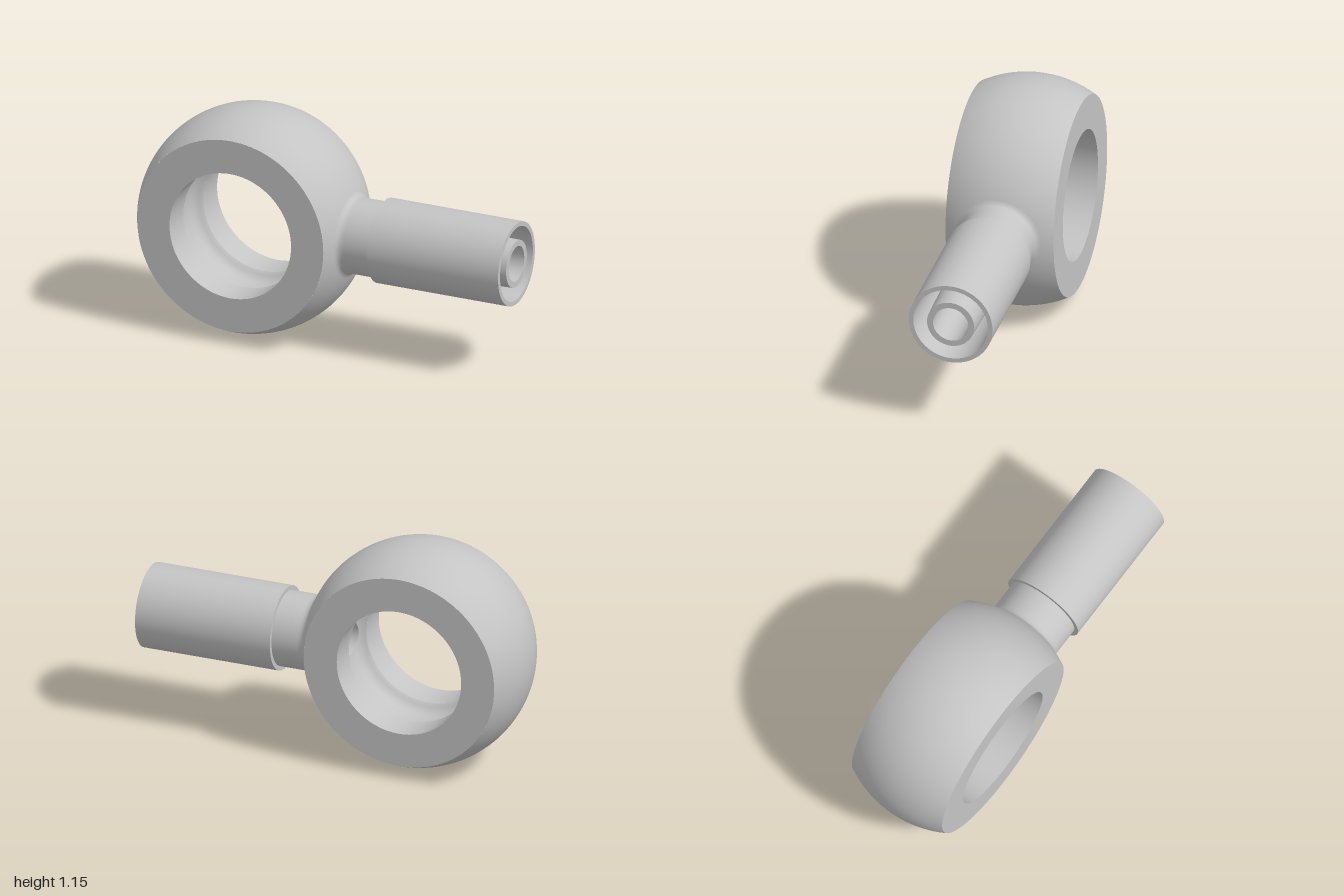
import * as THREE from 'three';

const CX = -0.425, CY = 0.575;      // ring centre; stem axis is at the same height
const HALF = 0.275, BORE = 0.33, SPHERE = 0.575;
const GROOVE = 0.115, PASSAGE = 0.09, FILLET = 0.215;

// Radius of the ring's walls as a function of z
const sphereR = z => Math.sqrt(SPHERE ** 2 - z * z);
const grooveR = z => BORE + 0.05 * (1 - Math.min(1, Math.abs(z / GROOVE)) ** 4);
const boreR = () => BORE;

// Grid on a surface of revolution about z; at(u, v) gives [angle, z]
function wall(R, sign, at, nu, nv) {
  const pos = [], nor = [], idx = [];
  for (let i = 0; i <= nu; i++) for (let j = 0; j <= nv; j++) {
    const [a, z] = at(i / nu, j / nv), r = R(z), e = 1e-4;
    pos.push(r * Math.cos(a), r * Math.sin(a), z);
    const n = new THREE.Vector3(Math.cos(a), Math.sin(a), -(R(z + e) - R(z - e)) / (2 * e));
    nor.push(...n.normalize().multiplyScalar(sign).toArray());
  }
  const p = k => new THREE.Vector3().fromArray(pos, 3 * k);
  const tri = (a, b, c) => {
    const face = p(b).sub(p(a)).cross(p(c).sub(p(a)));
    const n = new THREE.Vector3();
    for (const k of [a, b, c]) n.add(new THREE.Vector3().fromArray(nor, 3 * k));
    if (face.dot(n) > 0) idx.push(a, b, c); else idx.push(a, c, b);
  };
  for (let i = 0; i < nu; i++) for (let j = 0; j < nv; j++) {
    const a = i * (nv + 1) + j, b = a + nv + 1;
    tri(a, b, b + 1);
    tri(a, b + 1, a + 1);
  }
  const g = new THREE.BufferGeometry();
  g.setAttribute('position', new THREE.Float32BufferAttribute(pos, 3));
  g.setAttribute('normal', new THREE.Float32BufferAttribute(nor, 3));
  g.setIndex(idx);
  return g;
}

// Plain band between two z values, sweeping from angle a0 to 2*PI - a0
const band = (R, sign, z0, z1, a0 = 0, nv = 20) => wall(R, sign,
  (u, v) => [a0 + u * 2 * (Math.PI - a0), z0 + v * (z1 - z0)], 112, nv);

// Patch around +x with a round opening of radius r
const holedPatch = (R, sign, z0, a0, r) => wall(R, sign, (u, v) => {
  const side = Math.floor(u * 4) % 4, t = (u * 4 - Math.floor(u * 4)) * 2 - 1;
  const [a, b] = [[1, t], [-t, 1], [-1, -t], [t, -1]][side];
  const th = Math.atan2(b, a), hz = r * Math.sin(th);
  const ha = Math.asin(r * Math.cos(th) / R(hz));
  return [ha + v * (a * a0 - ha), hz + v * (b * z0 - hz)];
}, 80, 12);

// Turned surface along x from [x, radius] points
function turned(points) {
  const g = new THREE.LatheGeometry(points.map(([x, r]) => new THREE.Vector2(r, x)), 80);
  return g.rotateZ(-Math.PI / 2);
}

export function createModel() {
  const model = new THREE.Group();
  model.name = 'banjoFitting';
  const steel = new THREE.MeshStandardMaterial({ color: 0xc4c4c4 });
  steel.name = 'steel';
  const ring = new THREE.Group(), stem = new THREE.Group();
  ring.name = 'ring';
  stem.name = 'stem';
  ring.position.set(CX, CY, 0);
  stem.position.y = CY;
  model.add(ring, stem);
  const add = (parent, name, geometry) => {
    const m = new THREE.Mesh(geometry, steel);
    m.name = name;
    parent.add(m);
    return m;
  };

  // Spherical outside with an opening for the stem
  add(ring, 'outerWall', band(sphereR, 1, -HALF, HALF, 0.55));
  add(ring, 'outerWallAtStem', holedPatch(sphereR, 1, HALF, 0.55, FILLET));

  // Flat faces and bore on both sides
  for (const s of [1, -1]) {
    const face = add(ring, s > 0 ? 'frontFace' : 'backFace',
      new THREE.RingGeometry(BORE, sphereR(HALF), 112));
    face.position.z = s * HALF;
    if (s < 0) face.rotation.y = Math.PI;
    add(ring, 'boreWall', band(boreR, -1, s * GROOVE, s * HALF, 0, 1));
  }

  // Rounded groove inside the bore, open to the fluid passage
  add(ring, 'groove', band(grooveR, -1, -GROOVE, GROOVE, 0.4));
  add(ring, 'grooveAtPassage', holedPatch(grooveR, -1, GROOVE, 0.4, PASSAGE));

  // Neck, sleeve and inner nipple
  const runs = {
    neck: [[0.108, FILLET], [0.113, 0.205], [0.121, 0.197], [0.133, 0.192], [0.15, 0.19], [0.285, 0.19]],
    sleeveShoulder: [[0.285, 0.19], [0.285, 0.213]],
    sleeve: [[0.285, 0.213], [1, 0.213]],
    sleeveRim: [[1, 0.213], [1, 0.19]],
    sleeveInside: [[1, 0.19], [0.5, 0.18]],
    recessFloor: [[0.5, 0.18], [0.5, 0.13]],
    nipple: [[0.5, 0.13], [1, 0.12]],
    nippleRim: [[1, 0.12], [1, PASSAGE]],
  };
  for (const [name, points] of Object.entries(runs)) add(stem, name, turned(points));

  // Fluid passage, its inner end trimmed to the groove
  const passage = turned([[1, PASSAGE], [-0.06, PASSAGE]]);
  const p = passage.attributes.position;
  for (let i = 0; i < p.count; i++) {
    if (p.getX(i) < 0) p.setX(i, CX + Math.sqrt(grooveR(p.getZ(i)) ** 2 - p.getY(i) ** 2));
  }
  add(stem, 'passage', passage);
  return model;
}
